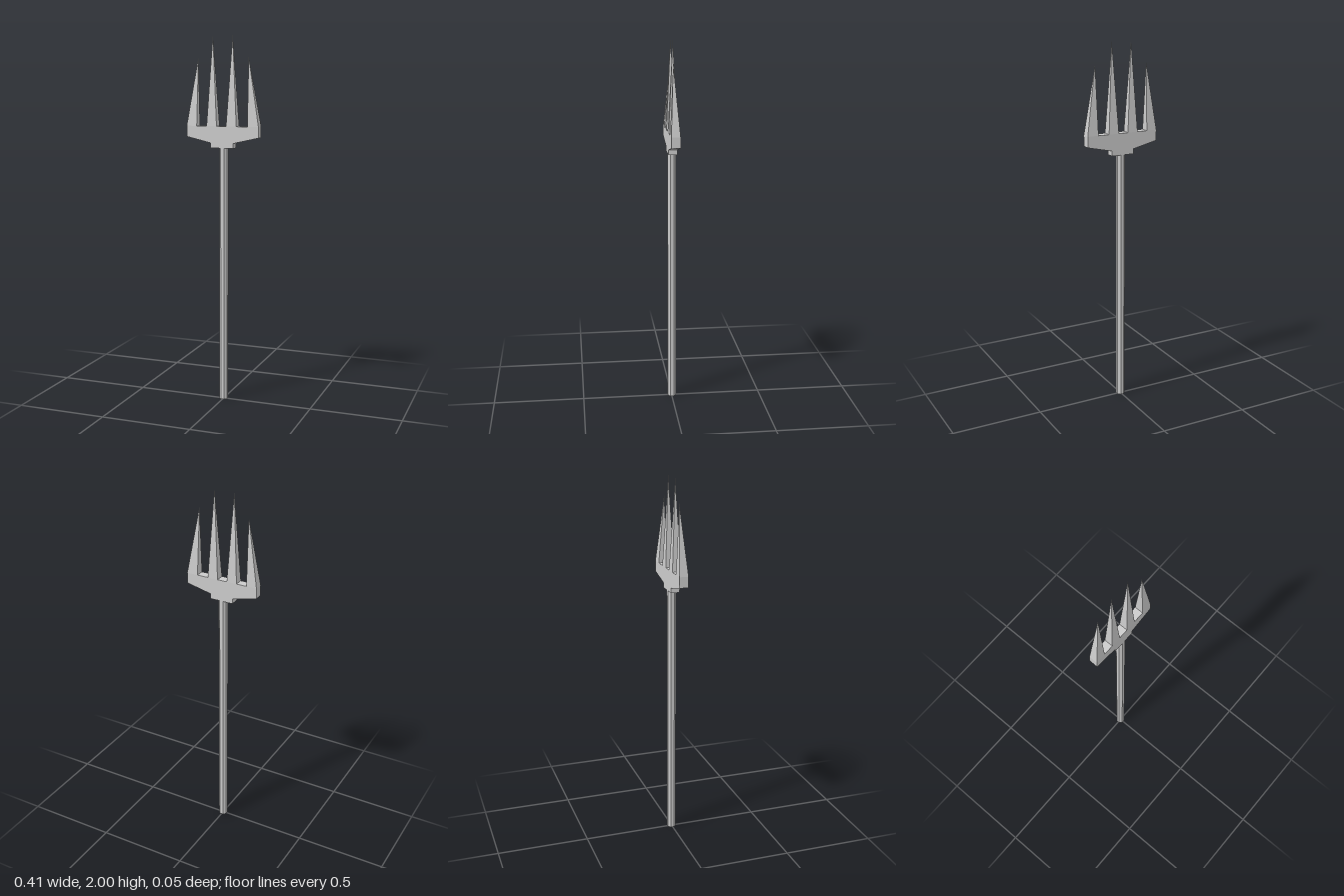
import * as THREE from 'three';

const BACK = -0.025, FRONT = 0.023, BASE_Y = 1.52;

export function createModel() {
  const group = new THREE.Group();
  const material = new THREE.MeshStandardMaterial({ color: 0xcccccc, flatShading: true });
  const add = (name, geometry) => {
    const mesh = new THREE.Mesh(geometry, material);
    mesh.name = name;
    group.add(mesh);
    return mesh;
  };

  // Octagonal pole
  const pole = new THREE.CylinderGeometry(0.0245, 0.0245, 1.41, 8);
  pole.rotateY(Math.PI / 8);
  add('handle', pole).position.set(0, 0.705, -0.001);

  // Flat crosspiece with sloping underside and central collar
  const outline = [
    [-0.205, BASE_Y], [-0.205, 1.462], [-0.067, 1.43], [-0.067, 1.403],
    [0.062, 1.403], [0.062, 1.43], [0.203, 1.462], [0.203, BASE_Y],
  ].map(([x, y]) => new THREE.Vector2(x, y));
  const head = new THREE.ExtrudeGeometry(new THREE.Shape(outline), {
    depth: FRONT - BACK, bevelEnabled: false,
  });
  head.translate(0, 0, BACK);
  add('crosspiece', head);

  // Four-sided spikes: a box whose top corners collapse to the tip
  const spike = (name, x0, x1, tipX, tipY, tipZ) => {
    const geometry = new THREE.BoxGeometry(1, 1, 1);
    const p = geometry.attributes.position;
    for (let i = 0; i < p.count; i++) {
      if (p.getY(i) > 0) p.setXYZ(i, tipX, tipY, tipZ);
      else p.setXYZ(i, p.getX(i) < 0 ? x0 : x1, BASE_Y, p.getZ(i) < 0 ? BACK : FRONT);
    }
    geometry.computeVertexNormals();
    add(name, geometry);
  };
  spike('rightOuterTine', -0.205, -0.147, -0.148, 1.885, -0.009);
  spike('rightInnerTine', -0.09, -0.033, -0.062, 2, -0.001);
  spike('leftInnerTine', 0.021, 0.079, 0.05, 2, -0.001);
  spike('leftOuterTine', 0.141, 0.203, 0.142, 1.885, 0.007);

  return group;
}
